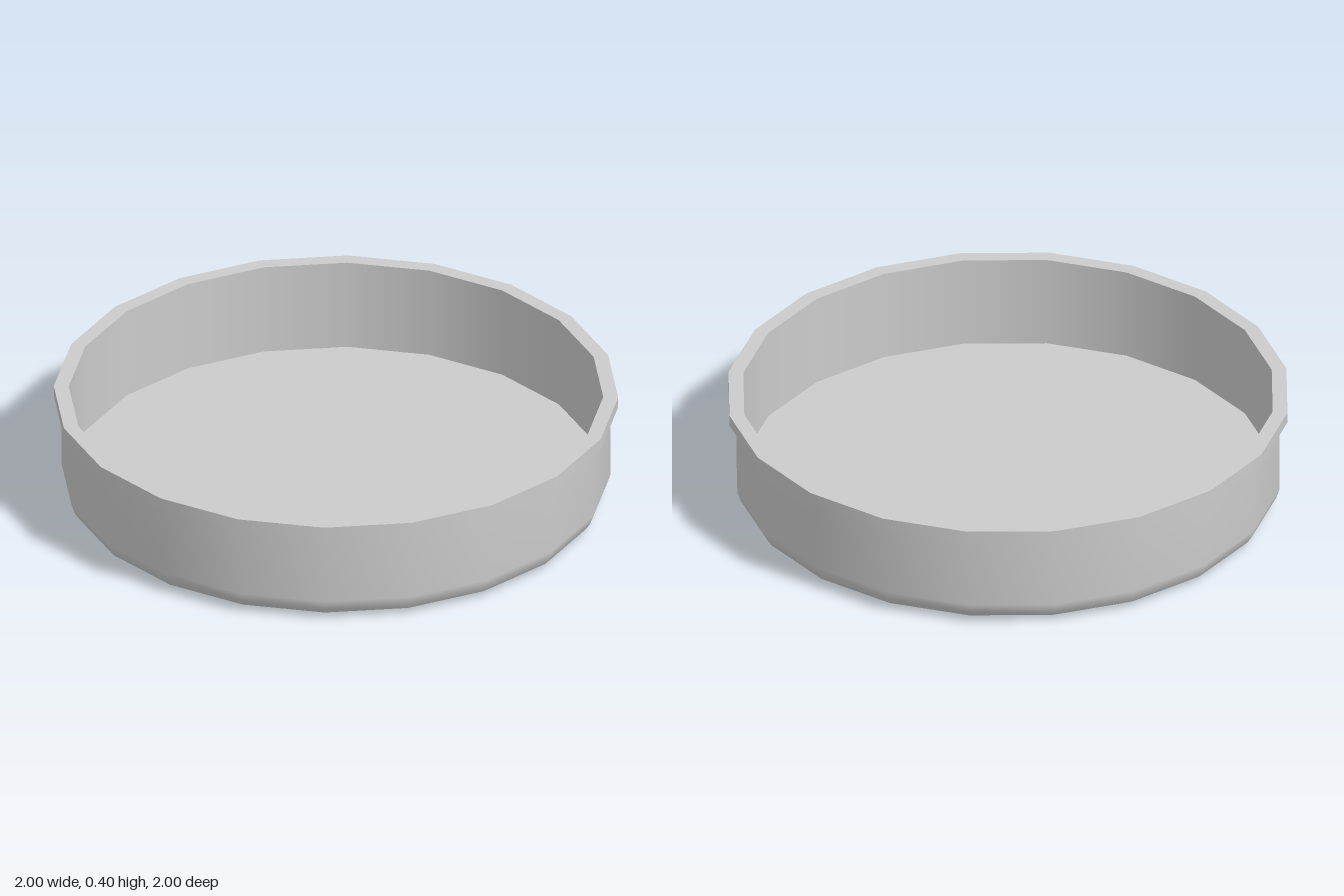
import * as THREE from 'three';

const SIDES = 20;

export function createModel() {
  const group = new THREE.Group();
  group.name = 'roundPan';
  const material = new THREE.MeshStandardMaterial({ color: 0xcccccc });

  const add = (name, geometry) => {
    const mesh = new THREE.Mesh(geometry, material);
    mesh.name = name;
    group.add(mesh);
    return mesh;
  };
  // Each band is smooth in itself; the edges between bands stay sharp
  const band = (name, points) =>
    add(name, new THREE.LatheGeometry(points.map(([r, y]) => new THREE.Vector2(r, y)), SIDES));
  const disc = (name, radius, y, facing) => {
    const mesh = add(name, new THREE.CircleGeometry(radius, SIDES));
    mesh.rotation.x = -facing * Math.PI / 2;
    mesh.position.y = y;
  };

  // Underside and rounded lower edge
  disc('base', 0.9, 0, -1);
  band('baseBevel', [[0.9, 0], [0.945, 0.022]]);
  band('outerWall', [[0.945, 0.022], [0.96, 0.045], [0.972, 0.08], [0.972, 0.355]]);

  // Overhanging rim
  band('rimUnderside', [[0.972, 0.355], [1, 0.355]]);
  band('rimEdge', [[1, 0.355], [1, 0.395]]);
  band('rimTop', [[1, 0.395], [0.947, 0.395]]);

  // Inside
  band('innerWall', [[0.947, 0.395], [0.947, 0.055]]);
  disc('floor', 0.947, 0.055, 1);

  return group;
}
